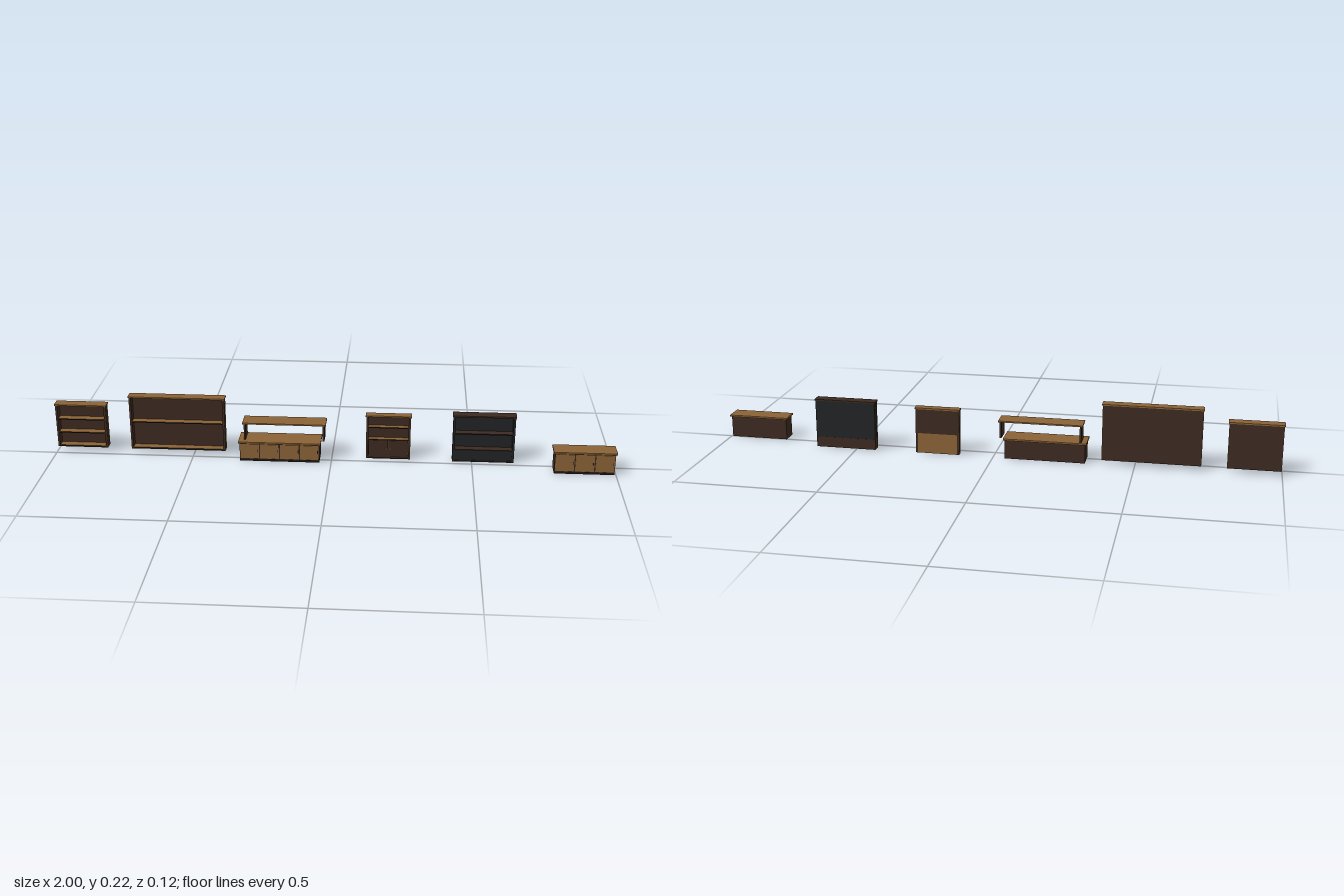
import * as THREE from 'three';

const mat = (name, color) => {
  const m = new THREE.MeshStandardMaterial({ color });
  m.name = name;
  return m;
};

export function createModel() {
  const oak = mat('oak', 0x8b6337);
  const walnut = mat('dark walnut', 0x3d2b21);
  const black = mat('black', 0x222324);
  const edge = mat('dark edge', 0x1d1713);

  // Box from its limits on each axis
  const box = (g, name, [x0, x1], [y0, y1], [z0, z1], m) => {
    const mesh = new THREE.Mesh(new THREE.BoxGeometry(x1 - x0, y1 - y0, z1 - z0), m);
    mesh.position.set((x0 + x1) / 2, (y0 + y1) / 2, (z0 + z1) / 2);
    mesh.name = name;
    g.add(mesh);
    return mesh;
  };

  // Shelf board with a dark front edge
  const shelf = (g, x, y, z, m) =>
    box(g, 'shelf', x, [y - 0.002, y + 0.002], z, [m, m, m, m, edge, m]);

  // Thin border strips on the outside of a side panel
  const sideFrame = (g, x, dir, [y0, y1], [z0, z1], m) => {
    const w = 0.004, xs = dir > 0 ? [x, x + 0.0015] : [x - 0.0015, x];
    box(g, 'sideTrim', xs, [y0, y1], [z0, z0 + w], m);
    box(g, 'sideTrim', xs, [y0, y1], [z1 - w, z1], m);
    box(g, 'sideTrim', xs, [y0, y0 + w], [z0 + w, z1 - w], m);
    box(g, 'sideTrim', xs, [y1 - w, y1], [z0 + w, z1 - w], m);
  };

  // Open-fronted case: sides, back, base, shelves and an overhanging top
  const bookcase = (name, o) => {
    const g = new THREE.Group();
    g.name = name;
    const [x0, x1] = o.x, [y0, y1] = o.y, [z0, z1] = o.z;
    const t = 0.006, a = x0 + 0.004, b = x1 - 0.004, f = z1 - 0.003, r = z0 + 0.002;
    const top = y1 - 0.005;
    box(g, 'top', o.x, [top, y1], o.z, o.top);
    box(g, 'side', [a, a + t], [y0, top], [r, f], o.side);
    box(g, 'side', [b - t, b], [y0, top], [r, f], o.side);
    box(g, 'back', [a + t, b - t], [o.backFrom ?? y0, top], [r, r + 0.004], o.back);
    box(g, 'base', [a + t, b - t], [y0, y0 + 0.006], [r + 0.004, f - 0.001],
      [o.shelf, o.shelf, o.shelf, edge, edge, o.shelf]);
    for (const y of o.shelves) shelf(g, [a + t, b - t], y, [r + 0.004, f - 0.002], o.shelf);
    if (o.trim) {
      sideFrame(g, a, -1, [o.trimFrom ?? y0, top], [r, f], o.trim);
      sideFrame(g, b, 1, [o.trimFrom ?? y0, top], [r, f], o.trim);
    }
    return g;
  };

  // Closed cabinet with a row of flat doors
  const cabinet = (name, o) => {
    const g = new THREE.Group();
    g.name = name;
    const [x0, x1] = o.x, [y0, y1] = o.y, [z0, z1] = o.z;
    const a = x0 + 0.005, b = x1 - 0.005, f = z1 - 0.005, top = y1 - 0.006;
    box(g, 'top', o.x, [top, y1], o.z, oak);
    box(g, 'body', [a, b], [y0, top], [z0 + 0.006, f], walnut);
    box(g, 'plinth', [a, b], [y0, y0 + 0.008], [f, f + 0.001], edge);
    const w = (b - a) / o.doors;
    for (let i = 0; i < o.doors; i++) {
      const d = a + i * w;
      box(g, 'door', [d + 0.002, d + w - 0.002], [y0 + 0.01, top - 0.003], [f, f + 0.002], oak);
      box(g, 'handle', [d + w - 0.007, d + w - 0.005], [0.036, 0.046], [f + 0.002, f + 0.004], edge);
    }
    return g;
  };

  const root = new THREE.Group();
  root.name = 'furnitureRow';

  // Small three-tier bookcase
  root.add(bookcase('smallBookcase', {
    x: [-1, -0.812], y: [0.016, 0.181], z: [-0.055, -0.016],
    shelves: [0.072, 0.123], top: oak, side: walnut, back: walnut, shelf: oak, trim: oak,
  }));

  // Wide bookcase with a single long shelf
  root.add(bookcase('wideBookcase', {
    x: [-0.73, -0.382], y: [0.016, 0.219], z: [-0.053, -0.015],
    shelves: [0.12], top: oak, side: walnut, back: walnut, shelf: oak, trim: oak,
  }));

  // Long sideboard with a raised open hutch
  const sideboard = cabinet('sideboard', {
    x: [-0.332, -0.037], y: [0, 0.074], z: [-0.06, 0.028], doors: 4,
  });
  const hutch = new THREE.Group();
  hutch.name = 'hutch';
  box(hutch, 'hutchTop', [-0.318, -0.02], [0.134, 0.139], [-0.06, 0.008], oak);
  for (const x of [-0.313, -0.031])
    box(hutch, 'hutchSide', [x, x + 0.006], [0.074, 0.134], [-0.054, 0.004], walnut);
  sideboard.add(hutch);
  root.add(sideboard);

  // Narrow bookcase with two lower doors and an oak lower back
  const narrow = bookcase('narrowBookcase', {
    x: [0.12, 0.283], y: [0, 0.167], z: [-0.052, -0.022], backFrom: 0.073,
    shelves: [0.073, 0.12], top: oak, side: walnut, back: walnut, shelf: oak, trim: oak,
  });
  box(narrow, 'lowerBack', [0.13, 0.273], [0, 0.073], [-0.05, -0.046], oak);
  for (const [i, x] of [0.131, 0.202].entries()) {
    box(narrow, 'door', [x, x + 0.07], [0.007, 0.071], [-0.029, -0.026], walnut);
    const k = i ? x + 0.005 : x + 0.062;
    box(narrow, 'knob', [k, k + 0.003], [0.038, 0.041], [-0.026, -0.024], oak);
  }
  root.add(narrow);

  // Black bookcase on a walnut base
  const dark = bookcase('blackBookcase', {
    x: [0.428, 0.652], y: [0, 0.178], z: [-0.055, -0.016], backFrom: 0.038,
    shelves: [0.045, 0.107], top: walnut, side: black, back: black, shelf: walnut,
    trim: walnut, trimFrom: 0.038,
  });
  box(dark, 'lowerBack', [0.432, 0.648], [0, 0.038], [-0.0535, -0.049], walnut);
  box(dark, 'lowerFront', [0.438, 0.642], [0.006, 0.043], [-0.024, -0.021], black);
  for (const x of [0.4305, 0.648])
    box(dark, 'lowerSide', [x, x + 0.0015], [0, 0.038], [-0.053, -0.019], walnut);
  root.add(dark);

  // Low three-door cabinet
  root.add(cabinet('lowCabinet', {
    x: [0.78, 1], y: [0, 0.083], z: [-0.007, 0.061], doors: 3,
  }));

  return root;
}
